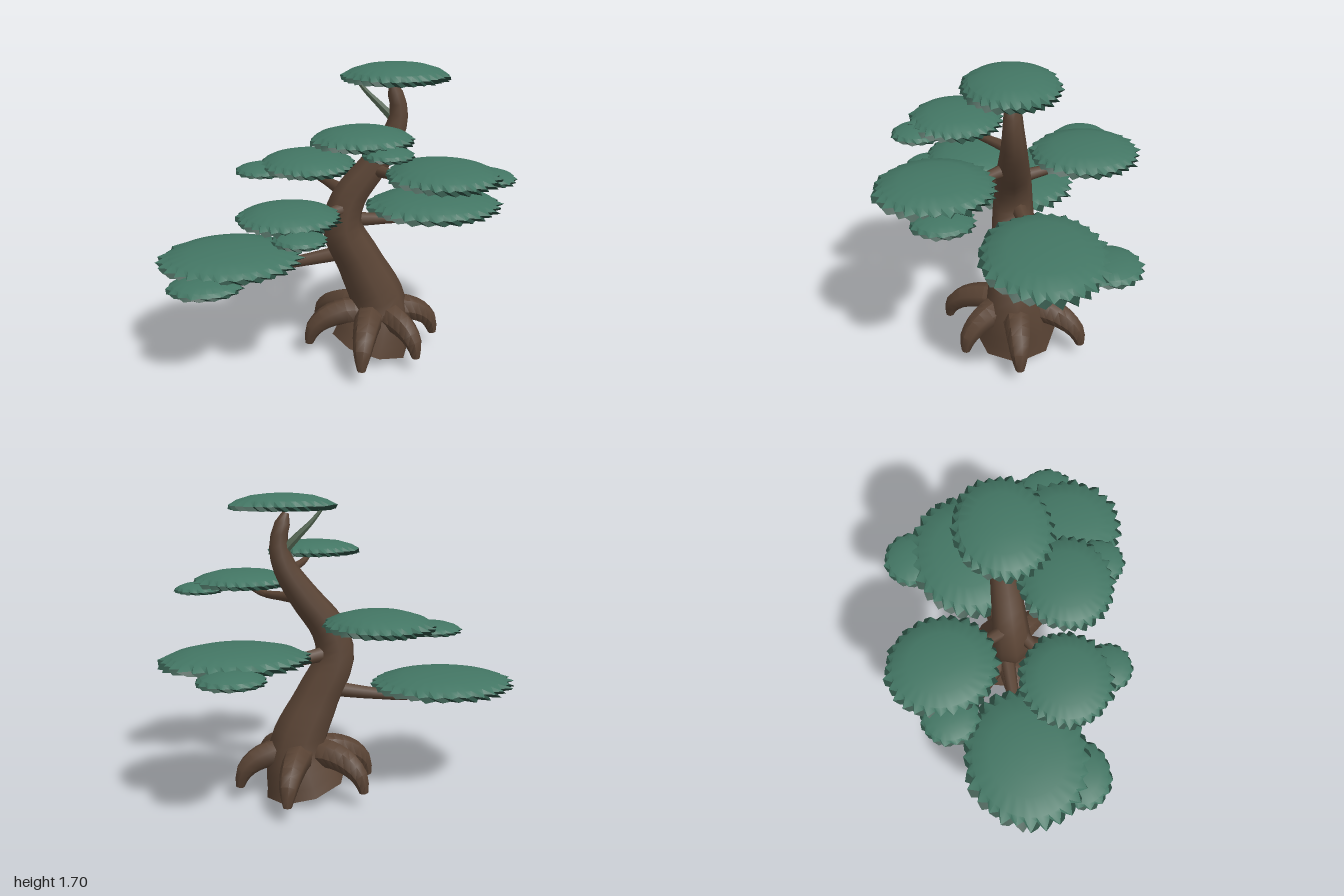
import * as THREE from 'three';
import { toCreasedNormals } from 'three/addons/utils/BufferGeometryUtils.js';

const mat = (name, color) => Object.assign(new THREE.MeshStandardMaterial({ color }), { name });

// Small seeded random generator
function seeded(seed) {
  return () => {
    seed = (seed * 16807) % 2147483647;
    return seed / 2147483647;
  };
}

// Capped tube through [x, y, z, radius] points
function taperedTube(pts, segments, sides) {
  const curve = new THREE.CatmullRomCurve3(pts.map(p => new THREE.Vector3(p[0], p[1], p[2])));
  const geo = new THREE.TubeGeometry(curve, segments, 1, sides);
  const pos = geo.attributes.position;
  const v = new THREE.Vector3();
  for (let i = 0; i <= segments; i++) {
    const from = curve.getPointAt(i / segments);
    // The outermost rings collapse onto their neighbours to close the ends
    const isCap = i === 0 || i === segments;
    const u = (THREE.MathUtils.clamp(i, 1, segments - 1) - 1) / (segments - 2);
    const to = curve.getPointAt(u);
    const t = curve.getUtoTmapping(u) * (pts.length - 1);
    const k = Math.min(Math.floor(t), pts.length - 2);
    const r = isCap ? 0 : THREE.MathUtils.lerp(pts[k][3], pts[k + 1][3], t - k);
    for (let j = 0; j <= sides; j++) {
      const n = i * (sides + 1) + j;
      v.fromBufferAttribute(pos, n).sub(from).multiplyScalar(r).add(to);
      pos.setXYZ(n, v.x, v.y, v.z);
    }
  }
  return toCreasedNormals(geo, 0.9);
}

// Leaf pad profiles: radius, height, and for toothed rings which columns are tips
const UNDERSIDE = [[0, 0.1], [0.78, 0.1], [1, 0, 1], [1, 0.26, 0]];
const CANOPY = [[1, 0.26, 0], [0.84, 0.58], [0.58, 0.85], [0.28, 0.97], [0, 1]];

// Revolved shell whose toothed rings zigzag in and out
function leafShell(profile, [rx, rz, h], teeth, seed) {
  const count = teeth * 2;
  const geo = new THREE.LatheGeometry(profile.map(p => new THREE.Vector2(p[0], p[1])), count);
  const rand = seeded(seed);
  const jitter = Array.from({ length: count }, () => rand());
  const pos = geo.attributes.position;
  for (let j = 0; j <= count; j++) {
    const tip = 0.96 + 0.08 * jitter[j % count];
    profile.forEach(([, , phase], k) => {
      const n = j * profile.length + k;
      const s = phase === undefined ? 1 : j % 2 === phase ? tip : 0.89;
      pos.setXYZ(n, pos.getX(n) * s * rx, pos.getY(n) * h, pos.getZ(n) * s * rz);
    });
  }
  return toCreasedNormals(geo, 0.8);
}

export function createModel() {
  const model = new THREE.Group();
  model.name = 'bonsaiTree';
  const bark = mat('bark brown', 0x594334);
  const leaf = mat('leaf green', 0x437664);
  const leafDark = mat('shaded leaf green', 0x2a4c40);
  const twigMat = mat('twig grey green', 0x50624f);

  const add = (name, geo, material) => {
    const mesh = new THREE.Mesh(geo, material);
    mesh.name = name;
    model.add(mesh);
    return mesh;
  };

  // Trunk, flared at the base and swaying left then right
  add('trunk', taperedTube([
    [0.195, 0.065, 0, 0.235], [0.24, 0.3, 0, 0.165], [0.13, 0.57, 0, 0.13],
    [0.025, 0.8, 0, 0.112], [0.06, 0.96, 0, 0.1], [0.2, 1.15, 0.01, 0.083],
    [0.305, 1.32, 0.015, 0.064], [0.33, 1.45, 0.02, 0.05], [0.295, 1.575, 0.02, 0.038],
    [0.288, 1.597, 0.02, 0.018],
  ], 30, 8), bark);

  // Arched roots around the base: angle in degrees, reach
  const roots = [[0, 0.37], [57, 0.345], [111, 0.405], [180, 0.375], [-135, 0.385], [-64, 0.395]];
  roots.forEach(([angle, reach]) => {
    const root = add('root', taperedTube([
      [0.03, 0.25, 0, 0.09], [reach * 0.42, 0.27, 0, 0.08], [reach * 0.75, 0.235, 0, 0.066],
      [reach * 0.95, 0.165, 0, 0.048], [reach, 0.085, 0, 0.024],
    ], 12, 7), bark);
    root.position.x = 0.205;
    root.rotation.y = -THREE.MathUtils.degToRad(angle);
  });

  // Branches reaching under the leaf pads
  const branches = [
    [[0.06, 0.63, -0.03, 0.045], [-0.2, 0.585, -0.05, 0.034], [-0.42, 0.56, -0.06, 0.024], [-0.56, 0.61, -0.07, 0.014]],
    [[0.04, 0.99, -0.03, 0.04], [-0.02, 1.0, -0.2, 0.028], [-0.07, 1.01, -0.33, 0.02], [-0.1, 1.05, -0.41, 0.012]],
    [[0.06, 0.83, -0.02, 0.045], [0.27, 0.805, -0.06, 0.032], [0.46, 0.795, -0.09, 0.024], [0.59, 0.84, -0.11, 0.014]],
    [[0.04, 0.92, 0.04, 0.04], [-0.09, 0.91, 0.11, 0.028], [-0.19, 0.905, 0.17, 0.02], [-0.28, 0.945, 0.22, 0.012]],
    [[0.28, 1.28, 0.02, 0.034], [0.21, 1.3, 0.12, 0.024], [0.14, 1.32, 0.22, 0.018], [0.08, 1.37, 0.3, 0.01]],
    [[0.18, 1.13, 0.02, 0.04], [0.28, 1.125, 0.16, 0.027], [0.38, 1.13, 0.29, 0.02], [0.47, 1.18, 0.4, 0.011]],
  ];
  branches.forEach(b => add('branch', taperedTube(b, 12, 7), bark));

  // Thin twig holding the crown
  add('crownTwig', taperedTube([
    [0.32, 1.38, 0.01, 0.028], [0.23, 1.475, -0.01, 0.021], [0.155, 1.55, -0.02, 0.014], [0.09, 1.63, -0.025, 0.008],
  ], 10, 6), twigMat);

  // Leaf pads: x, bottom y, z, [x radius, z radius, height]
  const pads = [
    [-0.595, 0.605, -0.07, [0.405, 0.36, 0.085]],
    [-0.75, 0.57, 0.2, [0.205, 0.18, 0.06]],
    [-0.1, 1.035, -0.41, [0.285, 0.31, 0.085]],
    [-0.37, 1.01, -0.43, [0.16, 0.16, 0.05]],
    [0.595, 0.83, -0.12, [0.395, 0.335, 0.09]],
    [0.66, 0.805, -0.43, [0.18, 0.175, 0.06]],
    [0.305, 1.615, 0.025, [0.29, 0.25, 0.085]],
    [-0.3, 0.93, 0.22, [0.275, 0.26, 0.075]],
    [-0.28, 0.9, 0.46, [0.14, 0.14, 0.05]],
    [0.07, 1.35, 0.295, [0.265, 0.245, 0.075]],
    [0.155, 1.32, 0.49, [0.13, 0.135, 0.05]],
    [0.465, 1.17, 0.405, [0.29, 0.305, 0.08]],
    [0.725, 1.14, 0.37, [0.14, 0.155, 0.05]],
  ];
  pads.forEach(([x, y, z, size], i) => {
    const teeth = size[0] < 0.22 ? 16 : 28;
    const seed = 101 + i * 37;
    add('leafCanopy', leafShell(CANOPY, size, teeth, seed), leaf).position.set(x, y, z);
    add('leafUnderside', leafShell(UNDERSIDE, size, teeth, seed), leafDark).position.set(x, y, z);
  });

  return model;
}
